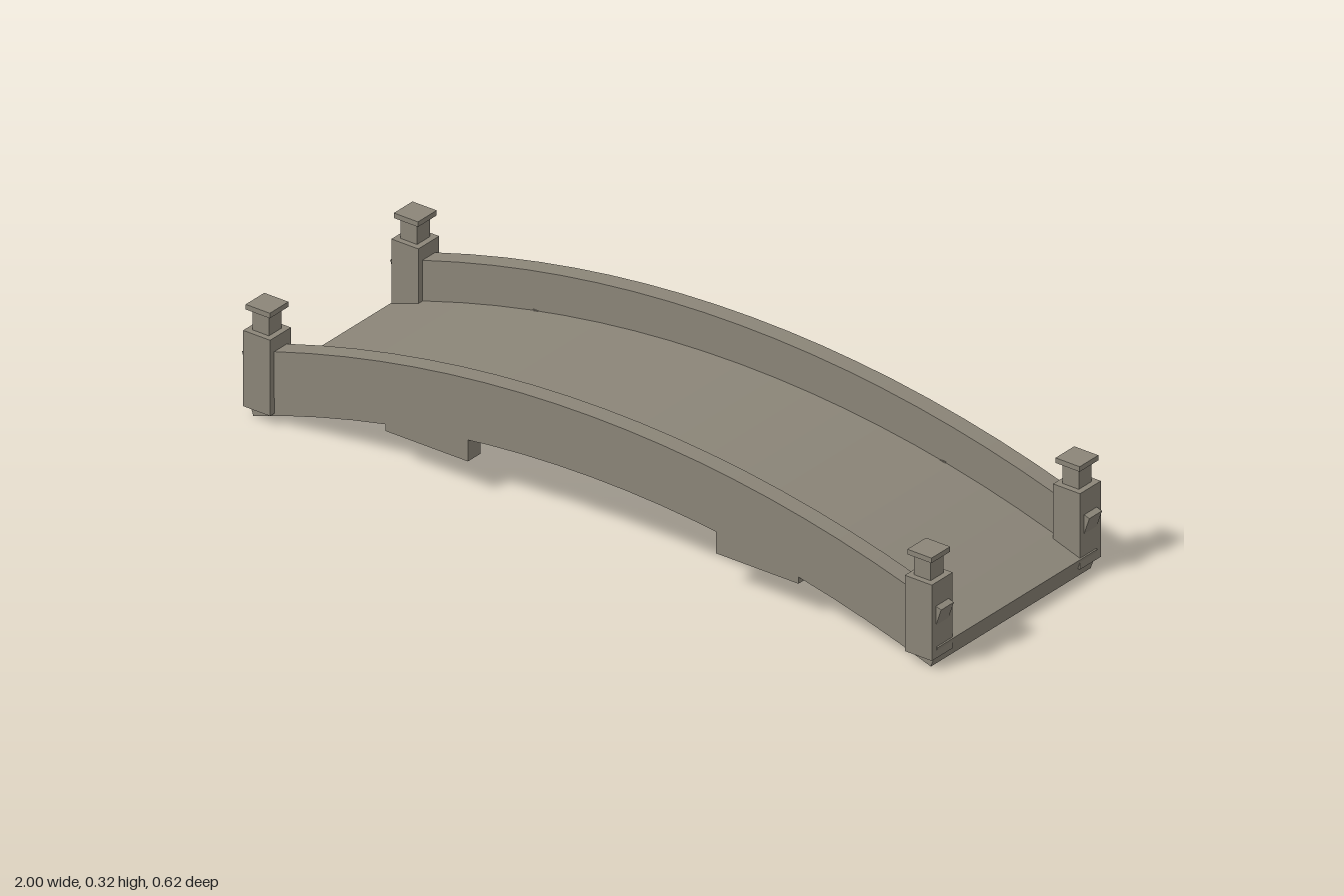
import * as THREE from 'three';

const CENTRE_Y = -2.778; // centre of the bridge's arc
const SEGMENTS = 20;

export function createModel() {
  const group = new THREE.Group();
  const stone = new THREE.MeshStandardMaterial({ color: 0x8b8578 });
  stone.name = 'stone';

  const add = (name, geometry, x = 0, y = 0, z = 0, parent = group) => {
    const mesh = new THREE.Mesh(geometry, stone);
    mesh.name = name;
    mesh.position.set(x, y, z);
    parent.add(mesh);
    return mesh;
  };

  // Curved band of straight segments between two radii, centred on z = 0
  const arcBand = (inner, outer, halfAngle, width) => {
    const points = [];
    const at = (r, a) => points.push(new THREE.Vector2(r * Math.sin(a), CENTRE_Y + r * Math.cos(a)));
    for (let i = 0; i <= SEGMENTS; i++) at(outer, halfAngle * (2 * i / SEGMENTS - 1));
    for (let i = SEGMENTS; i >= 0; i--) at(inner, halfAngle * (2 * i / SEGMENTS - 1));
    const geometry = new THREE.ExtrudeGeometry(new THREE.Shape(points), { depth: width, bevelEnabled: false });
    return geometry.translate(0, 0, -width / 2);
  };

  // Walkway
  add('deck', arcBand(2.945, 3.003, 0.3352, 0.59), 0, 0, 0);

  for (const sz of [-1, 1]) {
    // Low wall along each edge
    add('parapet', arcBand(2.99, 3.103, 0.328, 0.047), 0, 0, sz * 0.2735);

    for (const sx of [-1, 1]) {
      // Flat-bottomed support block under the deck edge
      add('supportBlock', new THREE.BoxGeometry(0.235, 0.08, 0.047), sx * 0.4725, 0.13, sz * 0.2715);

      // End post: shaft, neck and cap
      const post = new THREE.Group();
      post.name = 'endPost';
      post.position.set(sx * 0.946, 0, sz * 0.2735);
      group.add(post);
      add('postShaft', new THREE.BoxGeometry(0.077, 0.195, 0.077), 0, 0.1275, 0, post);
      add('postNeck', new THREE.BoxGeometry(0.047, 0.06, 0.047), 0, 0.252, 0, post);
      add('postCap', new THREE.BoxGeometry(0.069, 0.013, 0.069), 0, 0.285, 0, post);
    }
  }
  return group;
}
